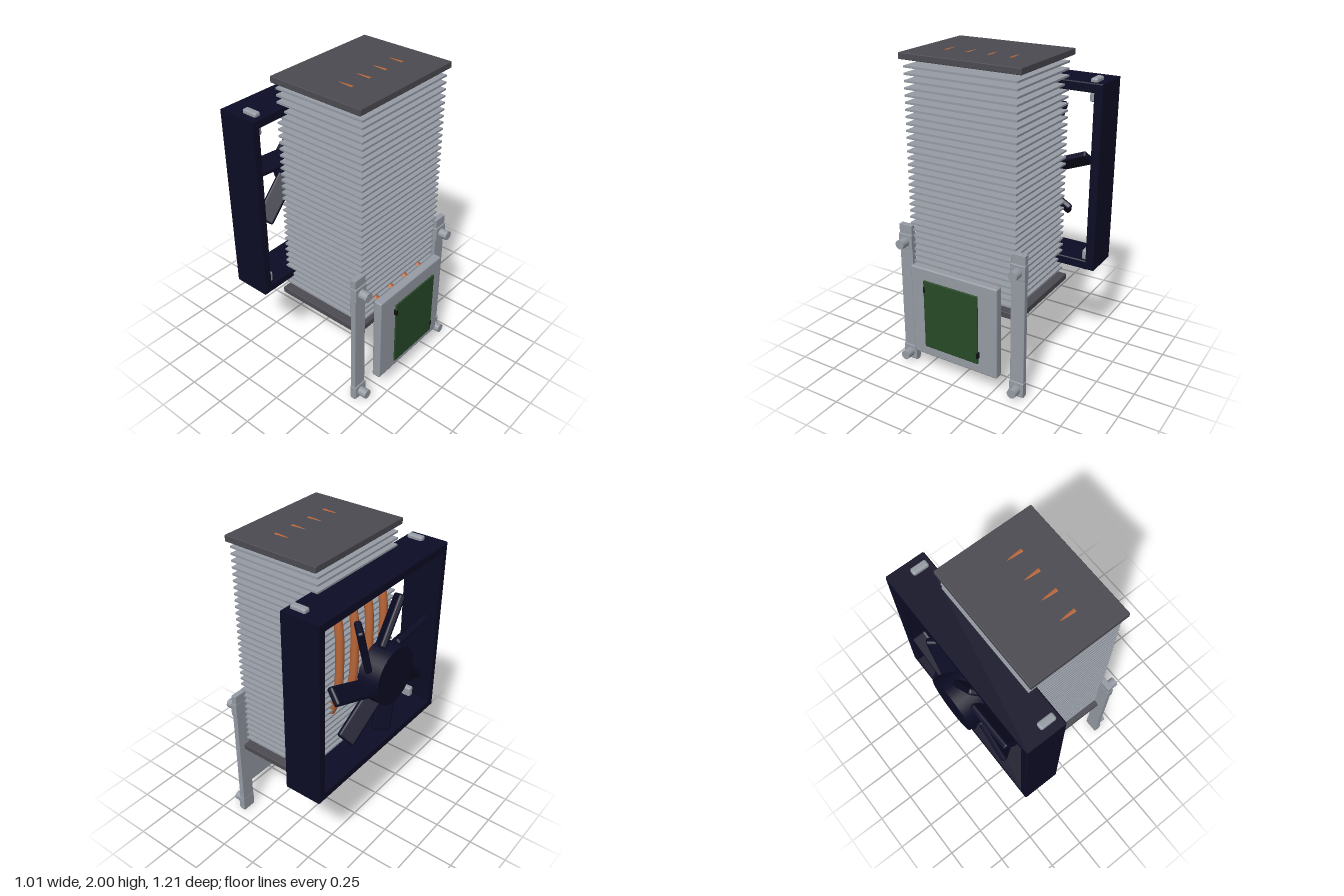
import * as THREE from 'three';
import { RoundedBoxGeometry } from 'three/addons/geometries/RoundedBoxGeometry.js';

const material = (name, color, side = THREE.FrontSide) => {
  const m = new THREE.MeshStandardMaterial({ color, side });
  m.name = name;
  return m;
};

export function createModel() {
  const model = new THREE.Group();
  model.name = 'towerCooler';
  const metal = material('brushedAluminium', 0x969ca5);
  const plate = material('darkGreyPlate', 0x4c4b52);
  const navy = material('navyPlastic', 0x0c0c26);
  const copper = material('copper', 0xb96638);
  const green = material('circuitGreen', 0x274a28);
  const black = material('blackTab', 0x101012);

  const add = (name, geometry, mat, parent = model) => {
    const mesh = new THREE.Mesh(geometry, mat);
    mesh.name = name;
    parent.add(mesh);
    return mesh;
  };
  // Box given by its limits on each axis, with optionally rounded edges
  const box = (name, mat, [x0, x1], [y0, y1], [z0, z1], r = 0) => {
    const s = [x1 - x0, y1 - y0, z1 - z0];
    const g = r ? new RoundedBoxGeometry(...s, 2, r) : new THREE.BoxGeometry(...s);
    const mesh = add(name, g, mat);
    mesh.position.set((x0 + x1) / 2, (y0 + y1) / 2, (z0 + z1) / 2);
    return mesh;
  };

  // Fin stack between two end plates
  const finCount = 33;
  for (let i = 0; i < finCount; i++) {
    const y = 0.593 + (i * (1.922 - 0.593)) / (finCount - 1);
    box('fin', metal, [-0.235, 0.373], [y - 0.006, y + 0.006], [-0.367, 0.367]);
  }
  box('topPlate', plate, [-0.245, 0.382], [1.962, 2], [-0.395, 0.395], 0.004);
  box('bottomPlate', plate, [-0.245, 0.378], [0.514, 0.553], [-0.395, 0.395], 0.004);

  // Four bent heat pipes, running from the top plate to the contact block
  const path = new THREE.CatmullRomCurve3([
    [0.18, 1.977], [0.08, 1.974], [-0.02, 1.962], [-0.1, 1.905], [-0.18, 1.79],
    [-0.25, 1.6], [-0.265, 1.36], [-0.25, 1.12], [-0.18, 0.92], [-0.1, 0.785],
    [0, 0.734], [0.17, 0.724], [0.3, 0.702], [0.37, 0.655], [0.402, 0.57], [0.41, 0.455],
  ].map(([x, y]) => new THREE.Vector3(x, y, 0)));
  const pipeRadius = 0.026;
  const pipeGeometry = new THREE.TubeGeometry(path, 80, pipeRadius, 12);
  const capGeometry = new THREE.CircleGeometry(pipeRadius, 12);
  for (const z of [-0.212, -0.07, 0.07, 0.212]) {
    const pipe = add('heatPipe', pipeGeometry, copper);
    pipe.position.z = z;
    for (const t of [0, 1]) {
      const cap = add('pipeEnd', capGeometry, copper, pipe);
      const end = path.getPoint(t);
      const outward = path.getTangent(t).multiplyScalar(t ? 1 : -1);
      cap.position.copy(end);
      cap.quaternion.setFromUnitVectors(new THREE.Vector3(0, 0, 1), outward);
    }
  }

  // Fan: local x is world -z, local z is world x
  const fan = new THREE.Group();
  fan.name = 'fan';
  fan.position.y = 1.24;
  fan.rotation.y = Math.PI / 2;
  model.add(fan);

  // Square frame with an open middle
  const rectangle = (Type, w, h) => new Type([
    new THREE.Vector2(-w, -h), new THREE.Vector2(w, -h),
    new THREE.Vector2(w, h), new THREE.Vector2(-w, h),
  ]);
  const bevel = 0.006;
  const outline = rectangle(THREE.Shape, 0.605 - bevel, 0.587 - bevel);
  outline.holes.push(rectangle(THREE.Path, 0.55 + bevel, 0.53 + bevel));
  const frameGeometry = new THREE.ExtrudeGeometry(outline, {
    depth: 0.25 - 2 * bevel, bevelEnabled: true, bevelSize: bevel, bevelThickness: bevel, bevelSegments: 1,
  });
  add('fanFrame', frameGeometry, navy, fan).position.z = -0.43 + bevel;

  // Hub and seven pitched blades, set off from the radial line
  const hubGeometry = new THREE.CylinderGeometry(0.18, 0.18, 0.14, 32).rotateX(Math.PI / 2);
  add('fanHub', hubGeometry, navy, fan).position.z = -0.435;
  const bladeGeometry = new RoundedBoxGeometry(0.32, 0.115, 0.042, 2, 0.015);
  bladeGeometry.rotateX(Math.PI / 4).translate(0.285, -0.1, 0);
  for (let i = 0; i < 7; i++) {
    const blade = add('fanBlade', bladeGeometry, navy, fan);
    blade.position.z = -0.4;
    blade.rotation.z = THREE.MathUtils.degToRad(21) + (i * Math.PI * 2) / 7;
  }

  // Fan clips through the frame corners
  for (const side of [-1, 1]) {
    for (const [y0, y1] of [[1.71, 1.85], [0.635, 0.77]]) {
      const clip = box('fanClip', metal, [-0.305, -0.205], [y0, y1], [-0.022, 0.022], 0.012);
      clip.position.z = side * 0.535;
    }
  }

  // Mounting brackets with end pads and screws
  const screwGeometry = new THREE.CylinderGeometry(0.03, 0.03, 0.07, 20).rotateZ(Math.PI / 2);
  for (const side of [-1, 1]) {
    const z = side * 0.395;
    box('mountBracket', metal, [0.355, 0.39], [0, 0.955], [z - 0.046, z + 0.046], 0.003);
    for (const y of [0.845, 0.055]) {
      box('bracketPad', metal, [0.354, 0.398], [y - 0.045, y + 0.05], [z - 0.049, z + 0.049], 0.004);
      add('mountScrew', screwGeometry, metal).position.set(0.42, y, z);
    }
  }

  // Contact block and the green chip in front of it
  box('contactBlock', metal, [0.415, 0.472], [0.137, 0.742], [-0.304, 0.304], 0.01);
  box('chip', green, [0.493, 0.504], [0.222, 0.68], [-0.191, 0.191], 0.003);
  box('chipTab', black, [0.485, 0.505], [0.26, 0.298], [-0.193, -0.18]);
  box('chipTab', black, [0.485, 0.505], [0.6, 0.638], [0.18, 0.193]);

  return model;
}
